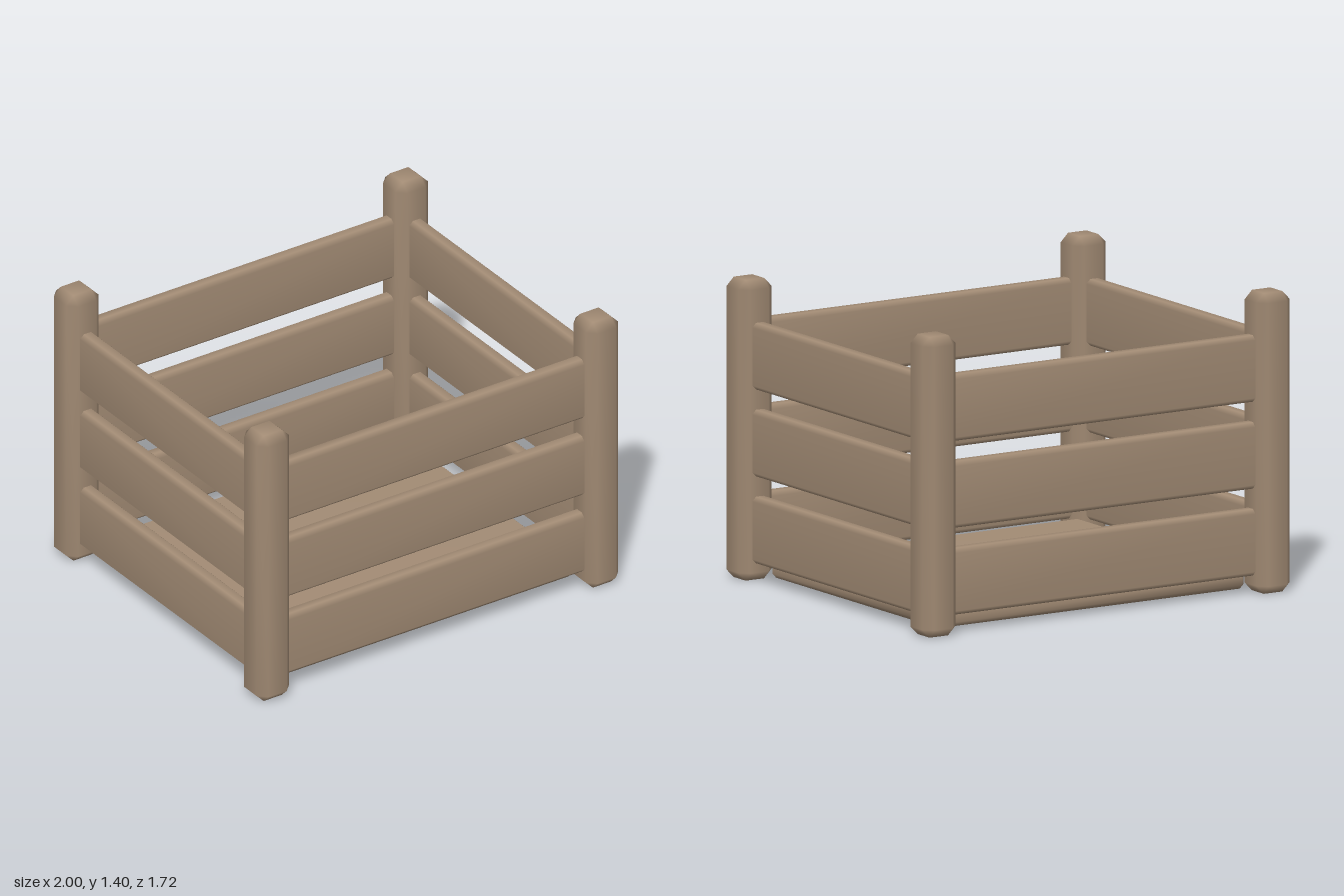
import * as THREE from 'three';
import { mergeVertices } from 'three/addons/utils/BufferGeometryUtils.js';
import { ConvexGeometry } from 'three/addons/geometries/ConvexGeometry.js';

// Box with every edge chamfered by c and smooth normals
function chamferBox(w, h, d, c) {
  const [x, y, z] = [w / 2, h / 2, d / 2];
  const points = [];
  for (const sx of [-1, 1]) for (const sy of [-1, 1]) for (const sz of [-1, 1]) {
    points.push(
      new THREE.Vector3(sx * x, sy * (y - c), sz * (z - c)),
      new THREE.Vector3(sx * (x - c), sy * y, sz * (z - c)),
      new THREE.Vector3(sx * (x - c), sy * (y - c), sz * z)
    );
  }
  const hull = new ConvexGeometry(points);
  hull.deleteAttribute('normal');
  const geometry = mergeVertices(hull);
  geometry.computeVertexNormals();
  return geometry;
}

export function createModel() {
  const crate = new THREE.Group();
  crate.name = 'crate';
  const wood = new THREE.MeshStandardMaterial({ color: 0xa38c75 });
  wood.name = 'wood';

  function add(name, geometry, x, y, z) {
    const mesh = new THREE.Mesh(geometry, wood);
    mesh.name = name;
    mesh.position.set(x, y, z);
    crate.add(mesh);
  }

  // Corner posts
  const post = chamferBox(0.18, 1.4, 0.18, 0.04);
  for (const sx of [-1, 1]) for (const sz of [-1, 1]) {
    add('cornerPost', post, sx * 0.91, 0.7, sz * 0.77);
  }

  // Three slats on each of the four sides
  const longSlat = chamferBox(1.68, 0.31, 0.08, 0.02);
  const shortSlat = chamferBox(0.08, 0.31, 1.4, 0.02);
  for (const y of [0.24, 0.645, 1.05]) {
    for (const s of [-1, 1]) {
      add(s > 0 ? 'frontSlat' : 'backSlat', longSlat, 0, y, s * 0.77);
      add(s > 0 ? 'leftSlat' : 'rightSlat', shortSlat, s * 0.91, y, 0);
    }
  }

  // Floor panel
  add('floor', chamferBox(1.68, 0.09, 1.4, 0.02), 0, 0.05, 0);

  return crate;
}
